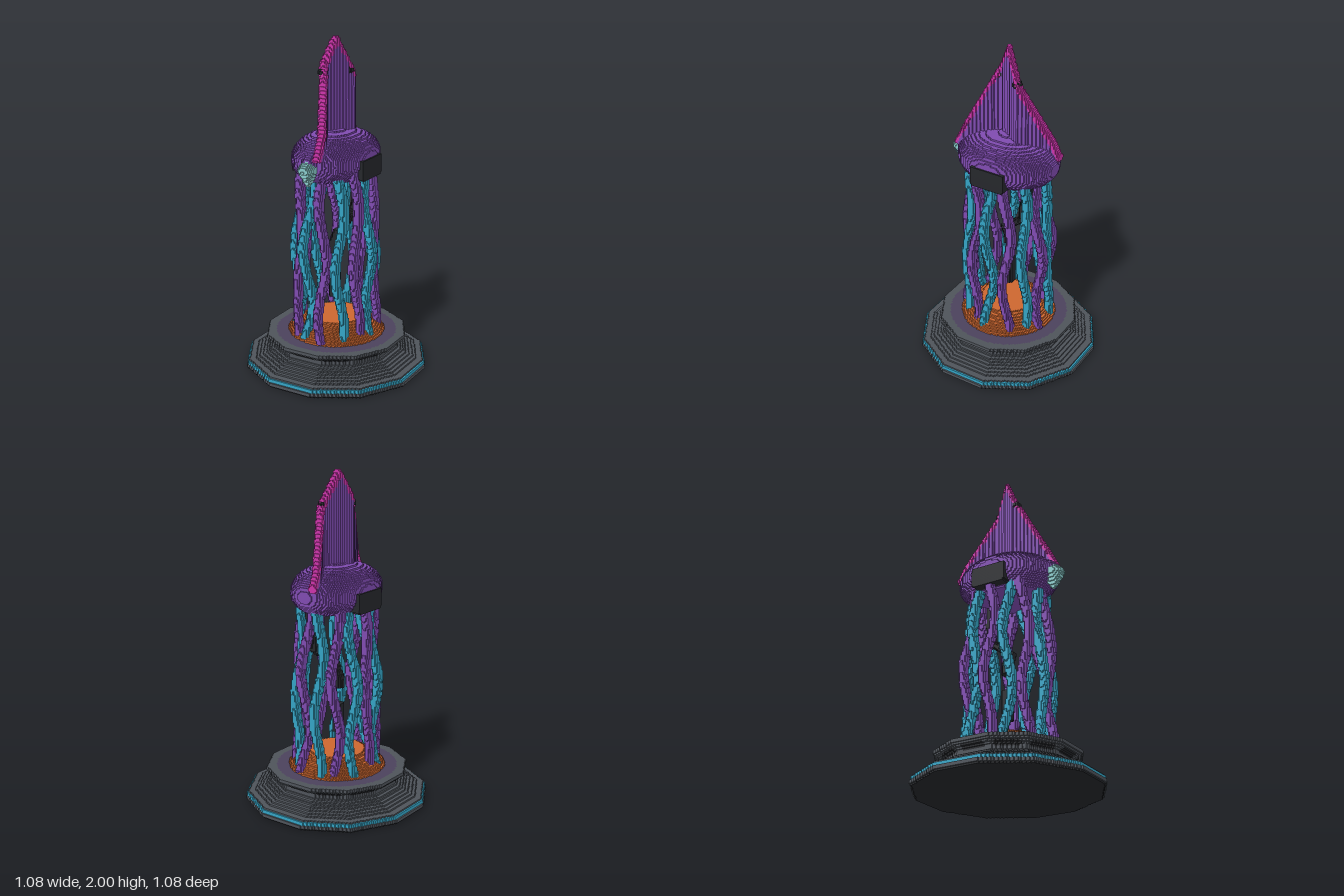
import * as THREE from 'three';

// Voxel sculpture: every part is a rule that fills cells of one shared grid.
const V = 0.01, NX = 112, NY = 202, H = NX / 2;

const mat = (name, color) => Object.assign(new THREE.MeshStandardMaterial({ color }), { name });

// Linear interpolation through [input, output] pairs
function lerpTable(pts, t) {
  for (let i = 1; i < pts.length; i++) {
    const [a, p] = pts[i - 1], [b, q] = pts[i];
    if (t <= b) return p + (q - p) * Math.max(0, (t - a) / (b - a));
  }
  return pts[pts.length - 1][1];
}

export function createModel() {
  const grey = mat('slate grey', 0x4e535a), dark = mat('near black', 0x25272b);
  const teal = mat('teal', 0x34a3c4), purple = mat('purple', 0x7f4bb0);
  const pink = mat('magenta', 0xcc34aa), orange = mat('rust orange', 0xcc662f);
  const plum = mat('dusky plum', 0x4b415c), pale = mat('pale aqua', 0x8acccc);

  const grid = new Uint8Array(NX * NY * NX);
  const parts = [];
  const at = (i, j, k) => (i < 0 || j < 0 || k < 0 || i >= NX || j >= NY || k >= NX) ? 0 : grid[(j * NX + k) * NX + i];

  // Fill all cells in a box [x0,x1,y0,y1,z0,z1] whose centre passes the rule
  function fill(name, material, [x0, x1, y0, y1, z0, z1], inside) {
    parts.push({ name, material });
    const id = parts.length;
    const lo = (a, o) => Math.max(0, Math.floor(a / V + o + 1e-6));
    const hi = (a, o, n) => Math.min(n, Math.ceil(a / V + o - 1e-6));
    for (let j = lo(y0, 0); j < hi(y1, 0, NY); j++)
      for (let k = lo(z0, H); k < hi(z1, H, NX); k++)
        for (let i = lo(x0, H); i < hi(x1, H, NX); i++)
          if (inside((i + 0.5 - H) * V, (j + 0.5) * V, (k + 0.5 - H) * V)) grid[(j * NX + k) * NX + i] = id;
  }

  // Twelve-sided pedestal
  const apothem = (x, z) => {
    let m = 0;
    for (let a = 0; a < 12; a++) m = Math.max(m, x * Math.cos(a * Math.PI / 6) + z * Math.sin(a * Math.PI / 6));
    return m;
  };
  const profile = [[0.055, 0.521], [0.065, 0.482], [0.075, 0.462], [0.085, 0.44], [0.095, 0.42], [0.115, 0.39],
    [0.13, 0.363], [0.16, 0.363], [0.175, 0.385], [0.19, 0.412], [0.22, 0.412]];
  const slab = (y0, y1) => [-0.56, 0.56, y0, y1, -0.56, 0.56];
  fill('pedestalFoot', dark, slab(0, 0.01), (x, y, z) => apothem(x, z) < 0.526);
  fill('pedestalRim', grey, slab(0.01, 0.03), (x, y, z) => apothem(x, z) < 0.5355);
  fill('pedestalLightStrip', teal, slab(0.03, 0.05), (x, y, z) => apothem(x, z) < 0.531);
  fill('pedestal', grey, slab(0.05, 0.21), (x, y, z) => apothem(x, z) < lerpTable(profile, y));
  fill('pedestalPanels', dark, slab(0.15, 0.18), (x, y, z) => {
    const a = apothem(x, z), t = Math.atan2(z, x) / (Math.PI / 6);
    return a > 0.34 && a < lerpTable(profile, y) && Math.abs(t - Math.round(t)) < 0.36;
  });
  fill('pedestalDisc', plum, slab(0.2, 0.21), (x, y, z) => Math.hypot(x, z) < 0.365);

  // Flat-topped mound
  const mound = [[0.21, 0.295], [0.25, 0.25], [0.285, 0.2], [0.31, 0.16]];
  fill('mound', orange, slab(0.21, 0.31), (x, y, z) => Math.hypot(x, z) < lerpTable(mound, y));

  // Dark cable segments hanging inside the ring of arms
  const cableX = [[0.4, -0.01], [0.6, -0.01], [0.75, -0.015], [0.87, 0.03], [1.0, 0.06], [1.25, 0.06]];
  const cableZ = [[0.85, 0], [0.95, -0.14], [1.25, -0.18]];
  for (const [y0, y1] of [[0.42, 0.6], [0.7, 0.85], [0.88, 1.25]])
    fill('hangingCable', dark, [-0.1, 0.12, y0, y1, -0.26, 0.1],
      (x, y, z) => Math.hypot(x - lerpTable(cableX, y), z - lerpTable(cableZ, y)) < 0.032);

  // Fourteen wavy arms, alternating teal and purple
  const reach = [[0.2, 0.24], [0.3, 0.228], [0.45, 0.212], [0.65, 0.225], [0.8, 0.228], [1.05, 0.2], [1.25, 0.188]];
  const phases = [0, 2.7, 2.7, 5, 1, 3.6, 0.4, 2.6, 5.2, 1.2, 3.2, 0.2, 2.2, 3.8];
  phases.forEach((phase, n) => {
    const angle = n * Math.PI / 7, odd = n % 2;
    const c = Math.cos(angle), s = Math.sin(angle);
    fill(odd ? 'purpleArm' : 'tealArm', odd ? purple : teal, [-0.36, 0.36, 0.22, 1.25, -0.36, 0.36], (x, y, z) => {
      const wave = 9 * (y - 0.95) + Math.PI / 2 + phase;
      const r = lerpTable(reach, y) + 0.015 * Math.sin(wave + 1.2);
      const side = 0.026 * Math.sin(wave);
      const px = r * c - side * s, pz = (r * s + side * c) * 1.13;
      return Math.hypot(x - px, z - pz) < 0.025 + 0.004 * (y - 0.2);
    });
  });

  // Head: squashed dome with a small brow at the front
  fill('head', purple, [-0.3, 0.3, 1.19, 1.48, -0.34, 0.34], (x, y, z) =>
    ((x / 0.235) ** 2 + (z / 0.312) ** 2) ** 1.1 + Math.abs((y - 1.305) / 0.152) ** 2.2 < 1);
  fill('brow', purple, [-0.07, 0.07, 1.26, 1.4, 0.22, 0.35], (x, y, z) => Math.hypot(x, y - 1.32, z - 0.275) < 0.058);

  // Tall thin crest that zigzags from front to back, with a bright edge and two dark knobs at its bends
  const zigzag = [[-0.3, -0.06], [-0.26, -0.05], [-0.095, 0.045], [0.065, -0.045], [0.245, 0.05], [0.33, 0.055]];
  const offset = (x, z) => Math.abs(x - lerpTable(zigzag, z));
  const ridge = z => 1.975 - 2.03 * Math.abs(z);
  fill('crest', purple, [-0.1, 0.1, 1.3, 2, -0.3, 0.3], (x, y, z) => y < ridge(z) && offset(x, z) < 0.024);
  for (const side of [1, -1])
    fill('crestKnob', dark, [-0.1, 0.1, 1.75, 1.86, -0.13, 0.13], (x, y, z) =>
      Math.hypot(x + 0.042 * side, y - 1.8, z - 0.083 * side) < 0.026);
  fill('crestEdge', pink, [-0.1, 0.1, 1.34, 2, -0.31, 0.325], (x, y, z) =>
    Math.hypot(offset(x, z) / 0.026, (y - ridge(z)) / 0.034) < 1);

  // Front eye with a pointed lower edge
  fill('eye', pale, [-0.07, 0.07, 1.19, 1.35, 0.27, 0.38], (x, y, z) => {
    const size = y > 1.285 ? Math.sqrt(Math.max(0, 1 - ((y - 1.285) / 0.052) ** 2)) : ((y - 1.185) / 0.1) ** 0.8;
    return Math.hypot(x / 0.052, (z - 0.31) / 0.066) < size;
  });

  // Dark rounded pods on both sides of the head
  for (const side of [1, -1])
    fill(side > 0 ? 'leftPod' : 'rightPod', dark, [-0.25, 0.25, 1.2, 1.33, -0.12, 0.12], (x, y, z) => {
      const corner = Math.hypot(Math.max(0, Math.abs(z) - 0.085), Math.max(0, Math.abs(y - 1.2625) - 0.032));
      return x * side > 0.18 && x * side < 0.24 && corner < 0.029;
    });

  // Exposed cell faces: direction d, merged into strips along axis r
  const faces = [[1, 0, 0], [-1, 0, 0], [0, 1, 0], [0, -1, 0], [0, 0, 1], [0, 0, -1]].map(d => {
    const r = d[0] ? [0, 0, 1] : [1, 0, 0];
    const n = new THREE.Vector3(...d), u = new THREE.Vector3(...r);
    const w = new THREE.Vector3().crossVectors(n, u);
    const corners = [[-1, -1], [1, -1], [1, 1], [-1, 1]].map(([a, b]) => ({
      p: n.clone().addScaledVector(u, a).addScaledVector(w, b).multiplyScalar(0.5), far: a > 0 }));
    return { d, r, corners };
  });
  const data = parts.map(() => ({ pos: [], nor: [], idx: [] }));
  for (let j = 0; j < NY; j++) for (let k = 0; k < NX; k++) for (let i = 0; i < NX; i++) {
    const id = at(i, j, k);
    if (!id) continue;
    const { pos, nor, idx } = data[id - 1];
    for (const { d, r, corners } of faces) {
      const open = s => at(i + s * r[0], j, k + s * r[2]) === id
        && !at(i + s * r[0] + d[0], j + d[1], k + s * r[2] + d[2]);
      if (!open(0) || open(-1)) continue;
      let run = 0;
      while (open(run + 1)) run++;
      const b = pos.length / 3;
      for (const { p, far } of corners) {
        const s = far ? run : 0;
        pos.push((i + s * r[0] + 0.5 - H + p.x) * V, (j + 0.5 + p.y) * V, (k + s * r[2] + 0.5 - H + p.z) * V);
        nor.push(...d);
      }
      idx.push(b, b + 1, b + 2, b, b + 2, b + 3);
    }
  }

  const model = new THREE.Group();
  model.name = 'tentacledStatue';
  parts.forEach(({ name, material }, p) => {
    const { pos, nor, idx } = data[p];
    if (!idx.length) return;
    const geometry = new THREE.BufferGeometry();
    geometry.setAttribute('position', new THREE.Float32BufferAttribute(pos, 3));
    geometry.setAttribute('normal', new THREE.Float32BufferAttribute(nor, 3));
    geometry.setIndex(idx);
    const mesh = new THREE.Mesh(geometry, material);
    mesh.name = name;
    model.add(mesh);
  });
  return model;
}
